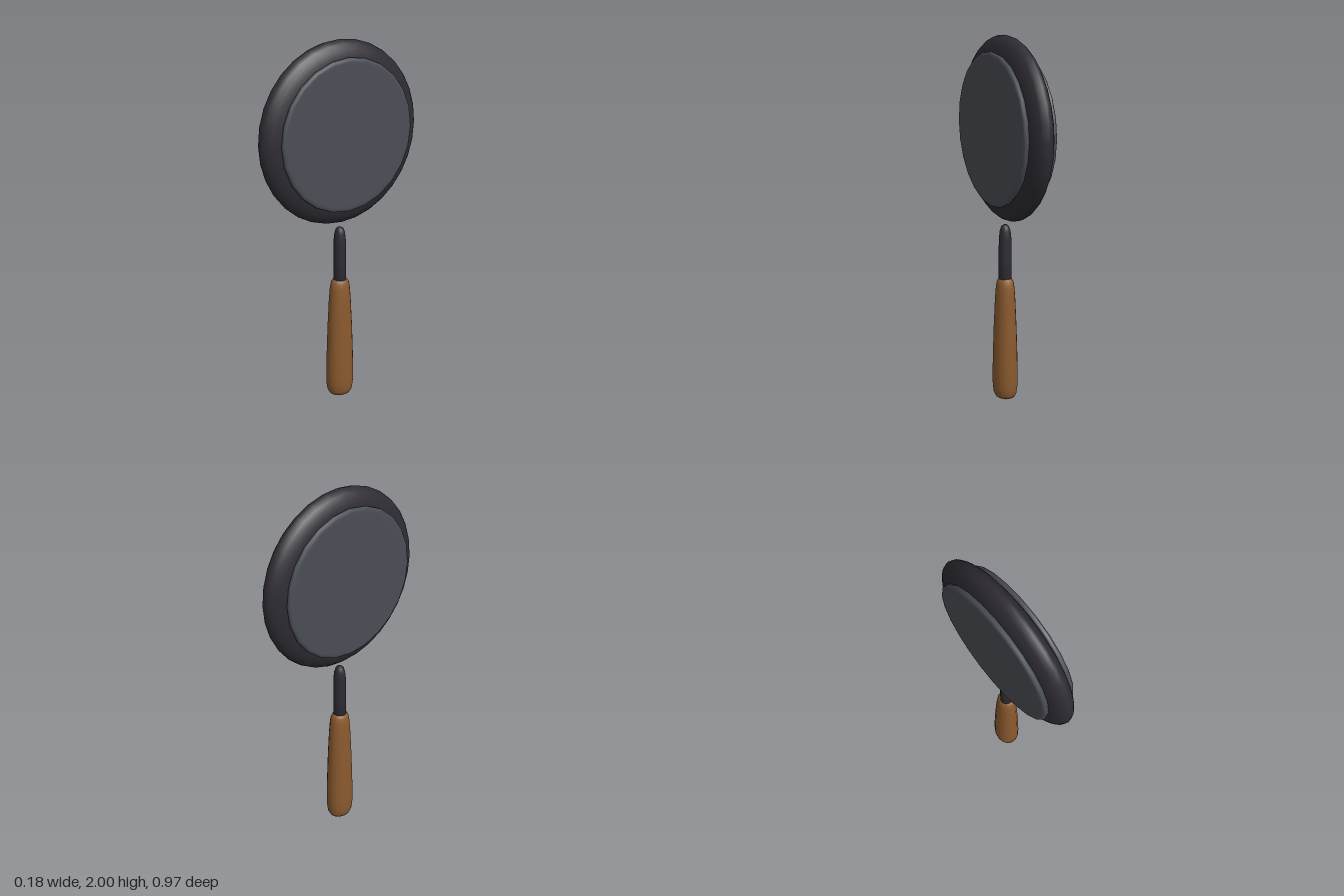
import * as THREE from 'three';

const material = (color) => new THREE.MeshStandardMaterial({ color, roughness: 0.8 });

// Smooth turned solid; profile is [radius, height] from bottom to top
function turned(name, profile, sides, mat) {
  const points = profile.map(([r, h]) => new THREE.Vector2(r, h));
  const mesh = new THREE.Mesh(new THREE.LatheGeometry(points, sides), mat);
  mesh.name = name;
  return mesh;
}

export function createModel() {
  const group = new THREE.Group();
  const iron = material(0x2e2c33);
  const steel = material(0x4a4d55);
  const wood = material(0x8b5a2f);

  // Round head, its axis along x
  const head = new THREE.Group();
  head.name = 'panHead';
  head.position.y = 1.514;
  group.add(head);

  // Thick body with a rounded rim
  const rim = [[0, -0.07], [0.34, -0.07]];
  for (let i = 1; i < 12; i++) {
    const a = -Math.PI / 2 + (i / 12) * Math.PI;
    rim.push([0.34 + 0.146 * Math.cos(a), 0.07 * Math.sin(a)]);
  }
  rim.push([0.34, 0.07], [0, 0.07]);
  const body = turned('panBody', rim, 32, iron);
  body.rotation.z = -Math.PI / 2;
  head.add(body);

  // Softly edged plate on each face
  const plateProfile = [
    [0, 0.05], [0.385, 0.05], [0.4, 0.068], [0.404, 0.076],
    [0.403, 0.084], [0.396, 0.09], [0.385, 0.092], [0.37, 0.092], [0, 0.092],
  ];
  for (const side of [1, -1]) {
    const plate = turned(side > 0 ? 'leftPlate' : 'rightPlate', plateProfile, 24, steel);
    plate.rotation.z = -side * Math.PI / 2;
    head.add(plate);
  }

  // Iron neck, stopping just short of the head
  const neck = turned('neck', [
    [0, 0.66], [0.035, 0.66], [0.035, 0.8], [0.034, 0.92],
    [0.029, 0.965], [0.021, 0.99], [0.01, 0.999], [0, 1],
  ], 16, iron);
  group.add(neck);

  // Tapered wooden grip, wider along z
  const grip = turned('grip', [
    [0, 0], [0.035, 0.002], [0.052, 0.012], [0.062, 0.035], [0.067, 0.075],
    [0.068, 0.14], [0.066, 0.25], [0.061, 0.42], [0.054, 0.58],
    [0.049, 0.65], [0.044, 0.68], [0.036, 0.697], [0.025, 0.702], [0, 0.702],
  ], 16, wood);
  grip.scale.z = 1.18;
  group.add(grip);

  return group;
}
